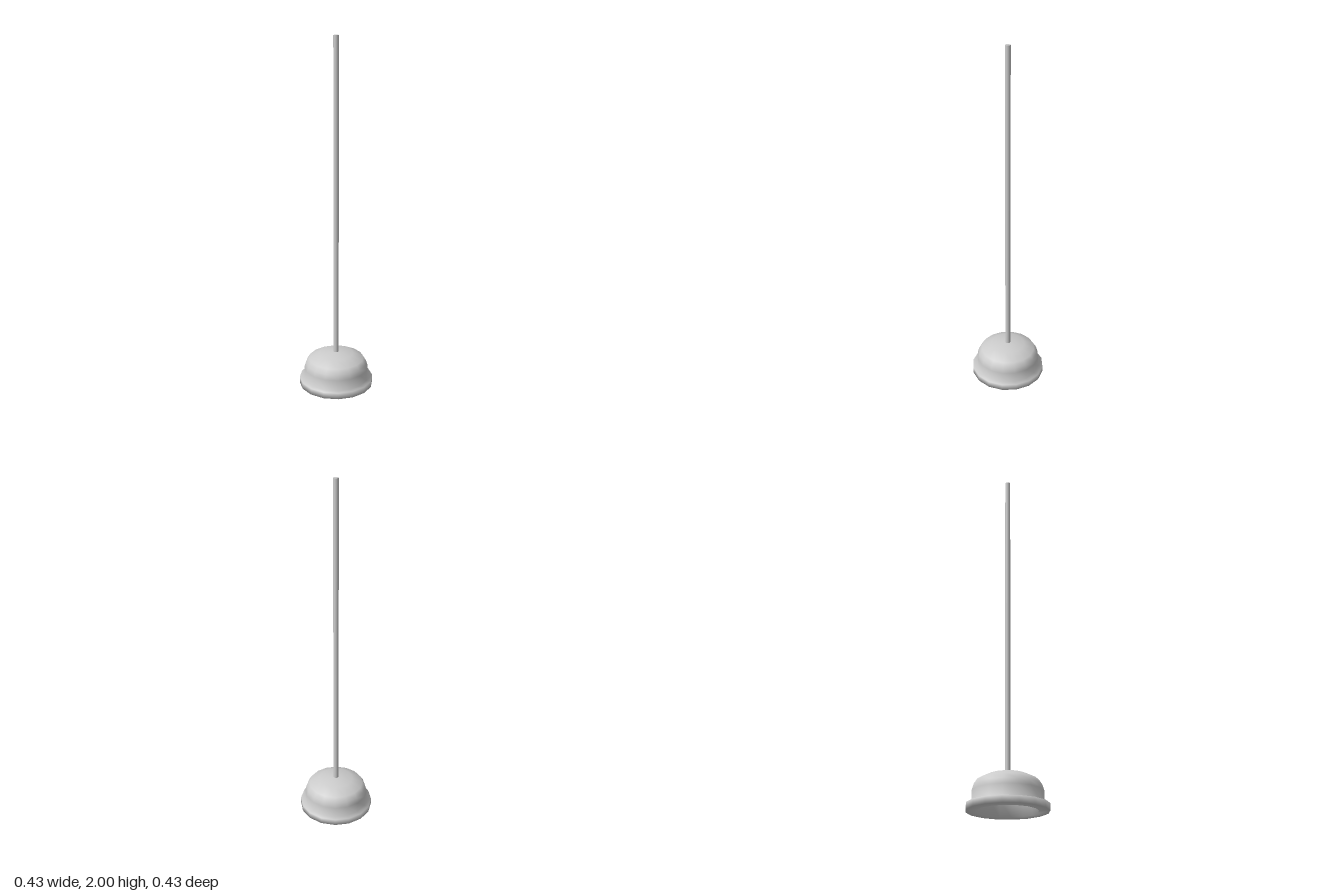
import * as THREE from 'three';

const SIDES = 16;

export function createModel() {
  const group = new THREE.Group();
  const material = new THREE.MeshStandardMaterial({ color: 0xcccccc });
  const rubber = new THREE.MeshStandardMaterial({ color: 0xcccccc, side: THREE.DoubleSide });

  // Hollow cup: inner dome, flat rim underneath, flange, outer dome
  const profile = [
    [0, 0.17], [0.09, 0.162], [0.142, 0.135], [0.16, 0.09], [0.16, 0],
    [0.215, 0], [0.215, 0.037], [0.187, 0.037],
    [0.187, 0.1], [0.178, 0.13], [0.16, 0.157], [0.1, 0.186], [0.03, 0.195], [0, 0.196],
  ].map(([r, y]) => new THREE.Vector2(r, y));
  const cup = new THREE.Mesh(new THREE.LatheGeometry(profile, SIDES), rubber);
  cup.name = 'cup';
  group.add(cup);

  // Long straight handle seated in the top of the cup
  const bottom = 0.18;
  const top = 2;
  const handle = new THREE.Mesh(
    new THREE.CylinderGeometry(0.015, 0.015, top - bottom, 24), material);
  handle.position.y = (top + bottom) / 2;
  handle.name = 'handle';
  group.add(handle);

  return group;
}
